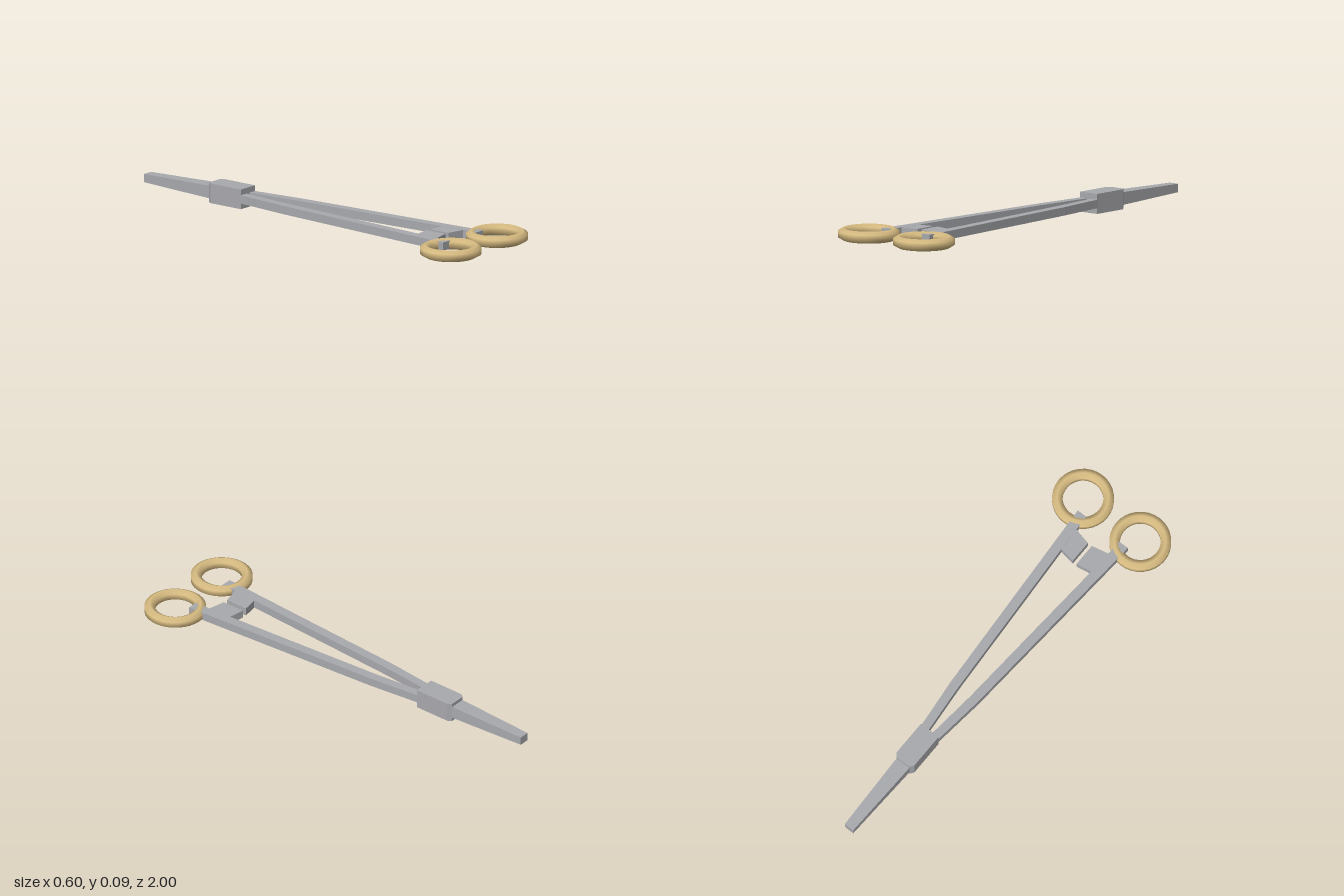
import * as THREE from 'three';

const MID = 0.045; // height of the tool's centre plane

// Flat plate from a plan outline of [x, z] points, centred on the mid plane
function plate(name, outline, height, material, side = 1) {
  const shape = new THREE.Shape(outline.map(([x, z]) => new THREE.Vector2(x * side, -z)));
  const geo = new THREE.ExtrudeGeometry(shape, { depth: height, bevelEnabled: false });
  geo.rotateX(-Math.PI / 2).translate(0, MID - height / 2, 0);
  const mesh = new THREE.Mesh(geo, material);
  mesh.name = name;
  return mesh;
}

// Closed horizontal circle used as the path of a finger ring
class RingPath extends THREE.Curve {
  constructor(radius) {
    super();
    this.radius = radius;
  }
  getPoint(t, target = new THREE.Vector3()) {
    const a = t * Math.PI * 2;
    return target.set(Math.cos(a) * this.radius, 0, Math.sin(a) * this.radius);
  }
}

export function createModel() {
  const group = new THREE.Group();
  group.name = 'needleHolder';
  const steel = new THREE.MeshStandardMaterial({ color: 0xa8a9ad });
  steel.name = 'steel';
  const gold = new THREE.MeshStandardMaterial({ color: 0xd8bc82 });
  gold.name = 'gold';

  // Jaws: box tapering in width and height towards the tip
  const jawGeo = new THREE.BoxGeometry(2, 2, 0.4).translate(0, 0, -0.8);
  const p = jawGeo.attributes.position;
  for (let i = 0; i < p.count; i++) {
    const tip = p.getZ(i) < -0.8;
    p.setX(i, p.getX(i) * (tip ? 0.024 : 0.037));
    p.setY(i, MID + p.getY(i) * (tip ? 0.019 : 0.029));
  }
  jawGeo.computeVertexNormals();
  const jaws = new THREE.Mesh(jawGeo, steel);
  jaws.name = 'jaws';
  group.add(jaws);

  // Box lock with its two rear corners cut
  group.add(plate('boxLock', [
    [-0.05, -0.427], [0.05, -0.427], [0.05, -0.6],
    [0.037, -0.618], [-0.037, -0.618], [-0.05, -0.6],
  ], 0.09, steel));

  for (const side of [1, -1]) {
    const label = side > 0 ? 'left' : 'right';

    // Long shank running from the lock into the ring
    group.add(plate(label + 'Shank', [
      [0.0, -0.5], [0.044, -0.5], [0.053, -0.4], [0.077, -0.18], [0.137, 0.72], [0.142, 0.8],
      [0.093, 0.8], [0.09, 0.7], [0.034, -0.18], [0.011, -0.42],
    ], 0.038, steel, side));

    // Ratchet catch reaching in towards the centre
    group.add(plate(label + 'Ratchet', [
      [0.011, 0.6], [0.1, 0.615], [0.1, 0.728], [0.011, 0.708],
    ], 0.037, steel, side));

    // Finger ring
    const ring = new THREE.Mesh(new THREE.TubeGeometry(new RingPath(0.114), 32, 0.027, 6, true), gold);
    ring.name = label + 'FingerRing';
    ring.position.set(side * 0.1625, MID, 0.8625);
    group.add(ring);
  }
  return group;
}
